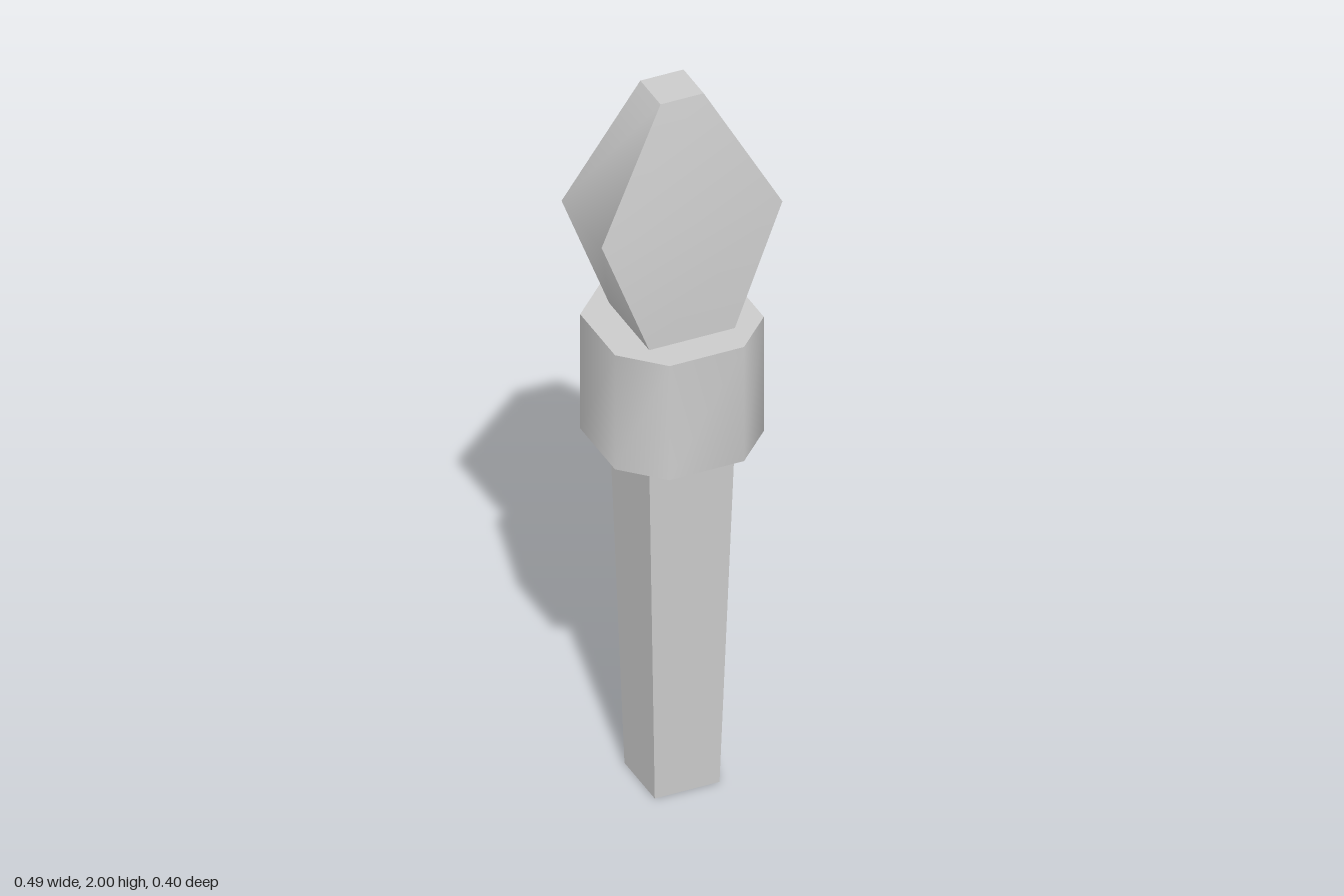
import * as THREE from 'three';
import { toCreasedNormals } from 'three/addons/utils/BufferGeometryUtils.js';

const SQUARE = [[1, 1], [1, -1], [-1, -1], [-1, 1]];
const OCTAGON = [[0.5, 1], [1, 0.5], [1, -0.5], [0.5, -1], [-0.5, -1], [-1, -0.5], [-1, 0.5], [-0.5, 1]];

// Closed solid through horizontal sections [y, half width, half depth]
function loft(outline, sections) {
  const n = outline.length;
  const rings = sections.map(([y, w, d]) => outline.map(([x, z]) => [x * w, y, z * d]));
  const pos = [];
  const tri = (a, b, c) => pos.push(...a, ...b, ...c);
  for (let k = 0; k < rings.length - 1; k++) {
    for (let i = 0; i < n; i++) {
      const j = (i + 1) % n;
      tri(rings[k][i], rings[k][j], rings[k + 1][j]);
      tri(rings[k][i], rings[k + 1][j], rings[k + 1][i]);
    }
  }
  const bottom = rings[0], top = rings[rings.length - 1];
  for (let i = 1; i < n - 1; i++) {
    tri(top[0], top[i], top[i + 1]);
    tri(bottom[0], bottom[i + 1], bottom[i]);
  }
  const geometry = new THREE.BufferGeometry();
  geometry.setAttribute('position', new THREE.Float32BufferAttribute(pos, 3));
  return toCreasedNormals(geometry, THREE.MathUtils.degToRad(52));
}

export function createModel() {
  const model = new THREE.Group();
  model.name = 'torch';
  const material = new THREE.MeshStandardMaterial({ color: 0xcccccc });
  const add = (name, geometry) => {
    const mesh = new THREE.Mesh(geometry, material);
    mesh.name = name;
    model.add(mesh);
  };

  // Square handle, narrowing towards the foot
  add('handle', loft(SQUARE, [[0, 0.087, 0.087], [1, 0.115, 0.115]]));

  // Eight-sided collar
  add('collar', loft(OCTAGON, [[1, 0.2, 0.2], [1.333, 0.2, 0.2]]));

  // Flame, wide across the front and cut flat at the tip
  add('flame', loft(SQUARE, [[1.333, 0.115, 0.115], [1.667, 0.243, 0.115], [2, 0.058, 0.058]]));

  return model;
}
